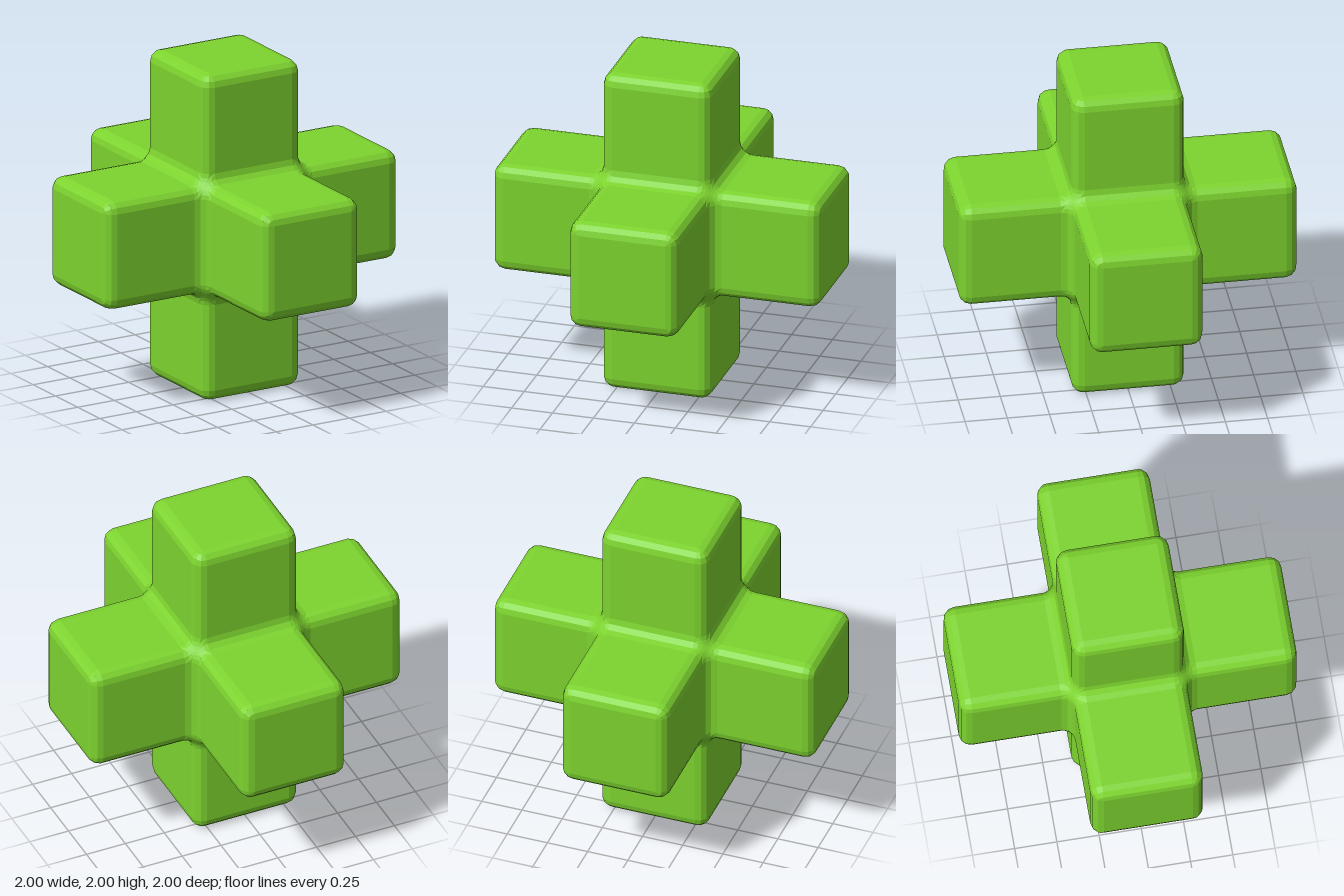
import * as THREE from 'three';

const A = 1 / 3;      // half width of an arm
const R = 0.07;       // radius of bevels and fillets
const W = A - R;      // half width of the flat faces
const SEG = 3;        // facets per quarter round
const Q = Math.PI / 2;

// Samples f(u, v) on a grid; faces look along df/du x df/dv.
function addPatch(out, f, nu, nv, signs, shift) {
  const point = (i, j) => {
    const p = f(i / nu, j / nv);
    return [0, 1, 2].map(k => p[(k + 3 - shift) % 3] * signs[k]);
  };
  const flip = signs[0] * signs[1] * signs[2] < 0;
  for (let i = 0; i < nu; i++) {
    for (let j = 0; j < nv; j++) {
      const a = point(i, j), b = point(i + 1, j), c = point(i + 1, j + 1), d = point(i, j + 1);
      const corners = flip ? [a, c, b, a, d, c] : [a, b, c, a, c, d];
      corners.forEach(p => out.push(...p));
    }
  }
}

function toGeometry(positions) {
  const g = new THREE.BufferGeometry();
  g.setAttribute('position', new THREE.Float32BufferAttribute(positions, 3));
  g.computeVertexNormals();
  return g;
}

// One arm along +x: a quarter of it, mirrored in y and z
function armGeometry() {
  const along = t => A + R + t * (1 - A - 2 * R);
  const cos = t => R * Math.cos(t * Q), sin = t => R * Math.sin(t * Q);
  const patches = [
    [(u, v) => [1, W * u, W * v], 1, 1],                                    // end face
    [(u, v) => [along(v), A, W * u], 1, 1],                                 // flat in y
    [(u, v) => [along(u), W * v, A], 1, 1],                                 // flat in z
    [(u, v) => [along(v), W + cos(u), W + sin(u)], SEG, 1],                 // long rounded edge
    [(u, v) => [1 - R + sin(v), W + cos(v), W * u], 1, SEG],                // end edges
    [(u, v) => [1 - R + sin(u), W * v, W + cos(u)], SEG, 1],
    [(u, v) => [1 - R + sin(v), W + Math.cos(v * Q) * cos(u),
      W + Math.cos(v * Q) * sin(u)], SEG, SEG],                             // ball corner
  ];
  const out = [];
  for (const sy of [1, -1]) for (const sz of [1, -1]) {
    for (const [f, nu, nv] of patches) addPatch(out, f, nu, nv, [1, sy, sz], 0);
  }
  return toGeometry(out);
}

// Concave fillets between arms and the saddle where three arms meet
function coreGeometry() {
  const fillet = (u, v) => [W * u, A + R - R * Math.cos(v * Q), A + R - R * Math.sin(v * Q)];
  // A sixth of the saddle: the rim arc drawn to the centre, its height falling with the cube
  const saddle = side => (u, v) => {
    const rim = [1, Math.sin(v * Q) - 1, Math.cos(v * Q) - 1];
    const h = (rim[0] + rim[1] + rim[2]) / 3;
    return rim.map(c => A + side * R * ((c - h) * u + h * u ** 3));
  };
  const out = [];
  for (const sx of [1, -1]) for (const sy of [1, -1]) for (const sz of [1, -1]) {
    for (let shift = 0; shift < 3; shift++) {
      const signs = [sx, sy, sz];
      addPatch(out, fillet, 1, SEG, signs, shift);
      addPatch(out, saddle(1), SEG, SEG, signs, shift);
      addPatch(out, saddle(-1), SEG, SEG, signs, shift);
    }
  }
  return toGeometry(out);
}

export function createModel() {
  const group = new THREE.Group();
  group.name = 'roundedCross';
  const material = new THREE.MeshStandardMaterial({ color: 0x7dd42f, flatShading: true });

  const arm = armGeometry();
  const directions = {
    leftArm: [1, 0, 0], rightArm: [-1, 0, 0],
    topArm: [0, 1, 0], bottomArm: [0, -1, 0],
    frontArm: [0, 0, 1], backArm: [0, 0, -1],
  };
  const xAxis = new THREE.Vector3(1, 0, 0);
  for (const [name, d] of Object.entries(directions)) {
    const mesh = new THREE.Mesh(arm, material);
    mesh.name = name;
    mesh.quaternion.setFromUnitVectors(xAxis, new THREE.Vector3(...d));
    mesh.position.y = 1;
    group.add(mesh);
  }

  const core = new THREE.Mesh(coreGeometry(), material);
  core.name = 'coreFillets';
  core.position.y = 1;
  group.add(core);
  return group;
}
